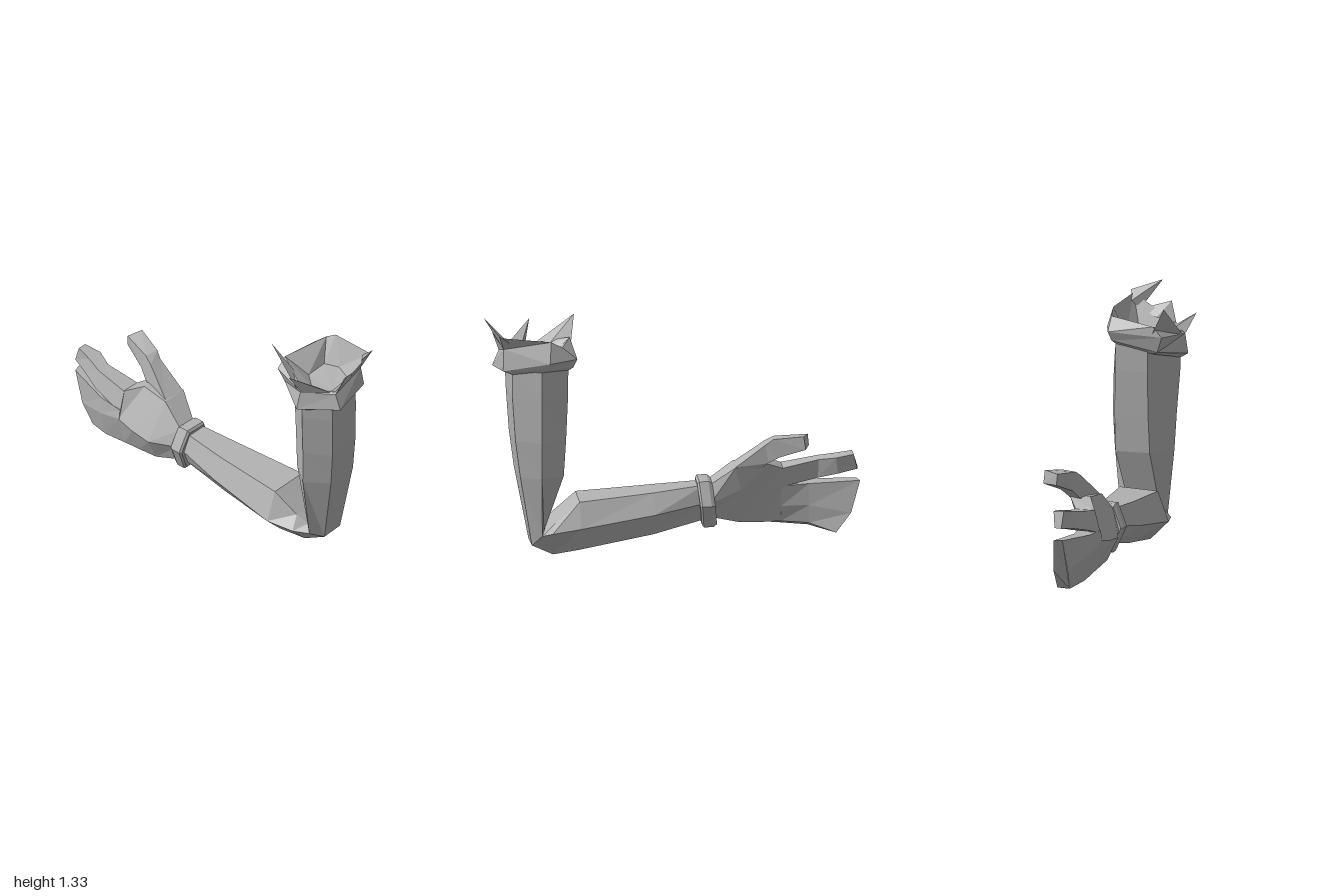
import * as THREE from 'three';

const grey = new THREE.MeshStandardMaterial({ color: 0xb3b3b3 });
grey.name = 'stone grey';

// Closed faceted skin through matching rings of [x, y, z] points, capped at both ends.
function loft(name, rings) {
  const r = rings.map(ring => ring.map(p => new THREE.Vector3(...p)));
  const n = r[0].length, tris = [];
  const add = (a, b, c) => {
    const area = b.clone().sub(a).cross(c.clone().sub(a)).length();
    if (area > 1e-7) tris.push([a, b, c]);
  };
  for (let i = 0; i < r.length - 1; i++) {
    for (let j = 0; j < n; j++) {
      const k = (j + 1) % n;
      add(r[i][j], r[i][k], r[i + 1][k]);
      add(r[i][j], r[i + 1][k], r[i + 1][j]);
    }
  }
  const last = r[r.length - 1];
  for (let j = 1; j < n - 1; j++) {
    add(r[0][0], r[0][j + 1], r[0][j]);
    add(last[0], last[j], last[j + 1]);
  }
  // Turn the skin outwards if its signed volume is negative
  const volume = tris.reduce((s, [a, b, c]) => s + a.dot(b.clone().cross(c)), 0);
  const pts = tris.flatMap(([a, b, c]) => (volume < 0 ? [a, c, b] : [a, b, c]));
  const geo = new THREE.BufferGeometry().setFromPoints(pts);
  geo.computeVertexNormals();
  const mesh = new THREE.Mesh(geo, grey);
  mesh.name = name;
  return mesh;
}

// Rings lying at one height or one depth
const atY = (y, pts) => pts.map(([x, z]) => [x, y, z]);
const atZ = (z, pts) => pts.map(([x, y]) => [x, y, z]);

// Thin torn point: a base edge a-b rising to a tip
function spike(a, b, tip, inward) {
  const c = a.map((v, i) => (v + b[i]) / 2 + inward[i]);
  return loft('tornPoint', [[a, b, c], [tip, tip, tip]]);
}

export function createModel() {
  const model = new THREE.Group();
  model.name = 'bentArm';

  // Upper arm, elbow and forearm in one skin.
  // Ring order: outer left, outer right, right, inner right, inner left, left.
  model.add(loft('arm', [
    atY(1.07, [[-0.06, 0.88], [0.135, 0.86], [0.2, 0.71], [0.155, 0.565], [-0.02, 0.565], [-0.15, 0.74]]),
    atY(0.92, [[-0.055, 0.875], [0.14, 0.86], [0.212, 0.71], [0.16, 0.567], [-0.02, 0.567], [-0.147, 0.74]]),
    atY(0.68, [[-0.04, 0.86], [0.152, 0.845], [0.218, 0.71], [0.165, 0.578], [-0.02, 0.578], [-0.13, 0.73]]),
    atY(0.48, [[-0.025, 0.835], [0.16, 0.82], [0.207, 0.71], [0.165, 0.59], [-0.025, 0.59], [-0.12, 0.72]]),
    [[0.005, 0.08, 0.76], [0.13, 0.085, 0.755], [0.175, 0.15, 0.705], [0.12, 0.16, 0.69], [-0.05, 0.16, 0.69], [-0.08, 0.13, 0.73]],
    [[-0.03, 0.035, 0.65], [0.055, 0.005, 0.635], [0.18, 0.16, 0.65], [0.12, 0.2, 0.63], [-0.07, 0.2, 0.63], [-0.125, 0.13, 0.65]],
    atZ(0.5, [[-0.06, 0.04], [0.11, 0.045], [0.175, 0.18], [0.11, 0.31], [-0.1, 0.3], [-0.16, 0.14]]),
    atZ(0.1, [[-0.07, 0.1], [0.06, 0.1], [0.12, 0.225], [0.06, 0.33], [-0.095, 0.325], [-0.14, 0.2]]),
    atZ(-0.17, [[-0.07, 0.155], [0.01, 0.155], [0.045, 0.255], [0.02, 0.35], [-0.08, 0.345], [-0.11, 0.25]]),
  ]));

  // Bracelet: six-sided tilted band with a bevelled rim
  const band = (z, s) => [[-0.085, 0.115], [0.025, 0.115], [0.085, 0.25], [0.03, 0.372], [-0.09, 0.372], [-0.142, 0.25]]
    .map(([x, y]) => [-0.03 + (x + 0.03) * s, 0.245 + (y - 0.245) * s, z + (y - 0.245) * 0.1]);
  model.add(loft('bracelet', [band(-0.145, 0.9), band(-0.155, 1), band(-0.205, 1), band(-0.225, 0.9)]));

  // Hand: palm, thumb, first finger and the joined fingers
  const hand = new THREE.Group();
  hand.name = 'hand';
  hand.add(loft('palm', [
    atZ(-0.2, [[-0.08, 0.155], [0, 0.165], [0.04, 0.25], [0.02, 0.35], [-0.08, 0.35], [-0.11, 0.25]]),
    [[-0.1, 0.105, -0.36], [-0.01, 0.125, -0.36], [0.06, 0.33, -0.36], [0.08, 0.46, -0.33], [-0.06, 0.455, -0.33], [-0.16, 0.23, -0.36]],
    [[-0.1, 0.095, -0.48], [-0.03, 0.115, -0.48], [0.02, 0.32, -0.48], [0.055, 0.465, -0.51], [-0.05, 0.47, -0.49], [-0.155, 0.24, -0.48]],
    atZ(-0.59, [[-0.098, 0.085], [-0.05, 0.11], [-0.02, 0.31], [0, 0.42], [-0.105, 0.42], [-0.145, 0.26]]),
  ]));
  hand.add(loft('thumb', [
    [[0.06, 0.44, -0.46], [-0.02, 0.44, -0.46], [-0.05, 0.455, -0.335], [0.075, 0.46, -0.33]],
    [[0.08, 0.48, -0.505], [0.0, 0.47, -0.53], [0.0, 0.58, -0.49], [0.075, 0.58, -0.49]],
    [[0.095, 0.515, -0.56], [0.02, 0.515, -0.58], [0.015, 0.61, -0.54], [0.09, 0.615, -0.53]],
    [[0.145, 0.57, -0.695], [0.065, 0.57, -0.72], [0.06, 0.63, -0.715], [0.14, 0.642, -0.685]],
  ]));
  hand.add(loft('firstFinger', [
    atZ(-0.585, [[-0.137, 0.3], [-0.02, 0.31], [0, 0.42], [-0.105, 0.42]]),
    atZ(-0.78, [[-0.12, 0.355], [-0.035, 0.35], [-0.02, 0.455], [-0.095, 0.455]]),
    [[-0.085, 0.38, -0.88], [0.0, 0.38, -0.88], [0.015, 0.473, -0.87], [-0.07, 0.473, -0.87]],
    [[-0.05, 0.4, -0.99], [-0.012, 0.4, -0.985], [0, 0.485, -0.965], [-0.055, 0.49, -0.96]],
  ]));
  hand.add(loft('joinedFingers', [
    atZ(-0.585, [[-0.098, 0.085], [-0.05, 0.11], [-0.03, 0.2], [-0.02, 0.315], [-0.137, 0.315], [-0.145, 0.26]]),
    atZ(-0.73, [[-0.095, 0.07], [-0.035, 0.1], [-0.03, 0.2], [-0.035, 0.318], [-0.125, 0.318], [-0.13, 0.22]]),
    [[-0.055, 0.05, -0.86], [0.01, 0.055, -0.87], [0.005, 0.16, -0.95], [-0.01, 0.335, -1], [-0.055, 0.335, -0.985], [-0.065, 0.16, -0.925]],
  ]));
  model.add(hand);

  // Ragged cuff: flared band, uneven rim and a hollow with a floor
  const cuff = new THREE.Group();
  cuff.name = 'tornCuff';
  cuff.add(loft('cuffBand', [
    [[-0.06, 0.99, 0.87], [0.135, 1.04, 0.85], [0.195, 1.07, 0.7], [0.15, 1.06, 0.57], [-0.05, 1.02, 0.57], [-0.148, 0.975, 0.74]],
    [[-0.07, 1.03, 0.945], [0.15, 1.07, 0.91], [0.215, 1.09, 0.69], [0.17, 1.085, 0.54], [-0.08, 1.035, 0.55], [-0.19, 1.0, 0.74]],
    [[-0.07, 1.115, 0.91], [0.13, 1.185, 0.905], [0.237, 1.13, 0.67], [0.185, 1.135, 0.52], [-0.11, 1.12, 0.53], [-0.17, 1.105, 0.75]],
    [[-0.065, 1.125, 0.9], [0.175, 1.265, 0.93], [0.2, 1.24, 0.66], [0.19, 1.205, 0.6], [-0.06, 1.175, 0.535], [-0.155, 1.115, 0.75]],
    [[-0.02, 1.08, 0.84], [0.11, 1.09, 0.83], [0.15, 1.09, 0.73], [0.12, 1.09, 0.65], [0.0, 1.08, 0.65], [-0.07, 1.08, 0.74]],
  ]));
  const spikes = [
    [[0.19, 1.28, 0.935], [0.13, 1.185, 0.905], [0.035, 1.33, 1.0], [0.01, 0, -0.04]],
    [[-0.17, 1.105, 0.76], [-0.07, 1.115, 0.89], [-0.24, 1.225, 0.73], [0.04, 0, -0.03]],
    [[-0.165, 1.105, 0.72], [-0.055, 1.13, 0.53], [-0.13, 1.28, 0.505], [0.03, 0, 0.03]],
    [[-0.07, 1.115, 0.91], [0.13, 1.185, 0.905], [-0.03, 1.23, 0.95], [0, 0, -0.03]],
  ];
  for (const s of spikes) cuff.add(spike(...s));
  model.add(cuff);

  return model;
}
